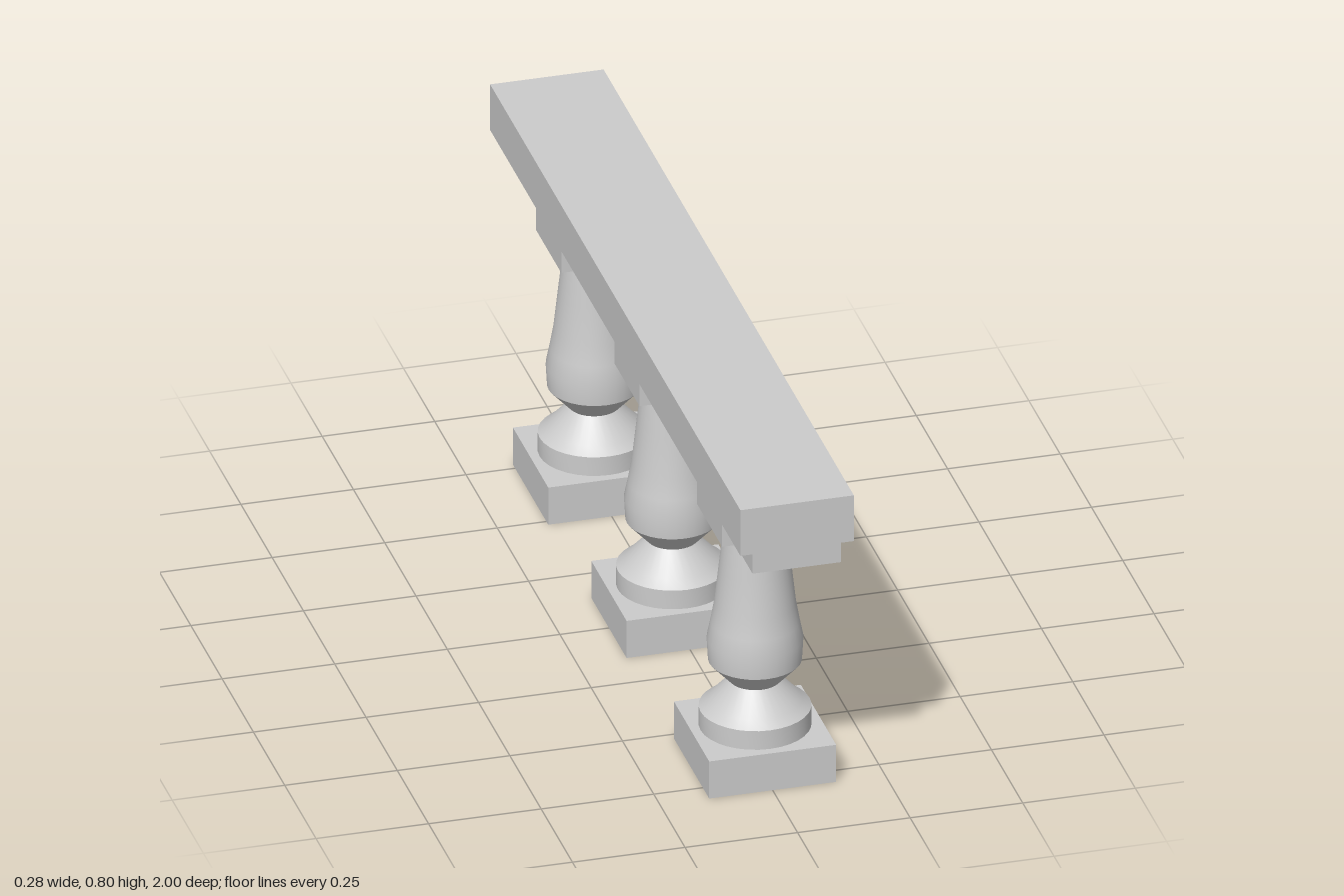
import * as THREE from 'three';
import { toCreasedNormals } from 'three/addons/utils/BufferGeometryUtils.js';

const material = new THREE.MeshStandardMaterial({ color: 0xcccccc });

// Box given by its size, bottom height and x offset
function block(name, width, height, depth, bottom, x = 0) {
  const mesh = new THREE.Mesh(new THREE.BoxGeometry(width, height, depth), material);
  mesh.name = name;
  mesh.position.set(x, bottom + height / 2, 0);
  return mesh;
}

// Turned part from [radius, height] pairs, bottom to top
function turned(name, profile) {
  const points = profile.map(([r, y]) => new THREE.Vector2(r, y));
  const geometry = toCreasedNormals(new THREE.LatheGeometry(points, 32), Math.PI / 7);
  const mesh = new THREE.Mesh(geometry, material);
  mesh.name = name;
  return mesh;
}

function createBaluster() {
  const baluster = new THREE.Group();
  baluster.name = 'baluster';
  baluster.add(block('plinth', 0.282, 0.09, 0.282, 0));
  // Round foot tapering to the neck
  baluster.add(turned('foot', [
    [0, 0.09], [0.121, 0.09], [0.121, 0.135], [0.101, 0.151], [0.056, 0.2], [0, 0.2],
  ]));
  // Flared neck, swelling belly and tapered shaft
  baluster.add(turned('shaft', [
    [0, 0.2], [0.056, 0.2], [0.101, 0.249], [0.104, 0.3], [0.096, 0.34],
    [0.088, 0.385], [0.078, 0.475], [0.066, 0.581], [0, 0.581],
  ]));
  baluster.add(block('capBlock', 0.202, 0.059, 0.202, 0.585));
  return baluster;
}

export function createModel() {
  const model = new THREE.Group();
  model.name = 'balustrade';

  // Three balusters along the rail
  for (const z of [0.66, 0, -0.626]) {
    const baluster = createBaluster();
    baluster.position.z = z;
    model.add(baluster);
  }

  // Handrail with a narrower strip beneath
  model.add(block('underRail', 0.196, 0.048, 2, 0.643, -0.002));
  model.add(block('handrail', 0.252, 0.111, 2, 0.69, -0.001));
  return model;
}
